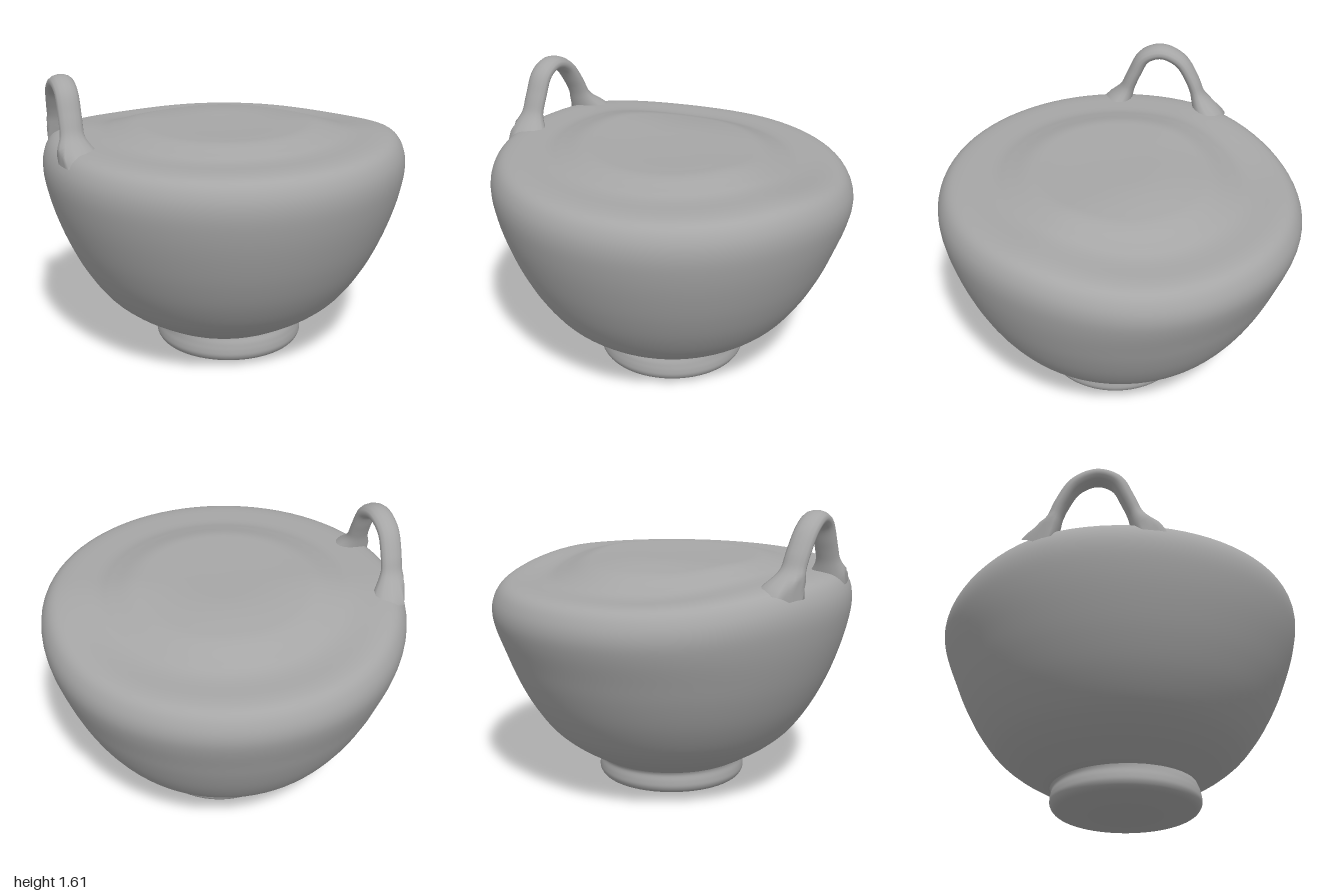
import * as THREE from 'three';
import { mergeVertices } from 'three/addons/utils/BufferGeometryUtils.js';

const { smoothstep } = THREE.MathUtils;

// Move every vertex by a rule, then weld the seams and smooth the normals
function reshape(geometry, rule) {
  const pos = geometry.attributes.position;
  const v = new THREE.Vector3();
  for (let i = 0; i < pos.count; i++) {
    v.fromBufferAttribute(pos, i);
    rule(v, i);
    pos.setXYZ(i, v.x, v.y, v.z);
  }
  geometry.deleteAttribute('uv');
  geometry.deleteAttribute('normal');
  const welded = mergeVertices(geometry, 1e-4);
  welded.computeVertexNormals();
  return welded;
}

function lathe(points, steps) {
  const curve = new THREE.SplineCurve(points.map(([r, y]) => new THREE.Vector2(r, y)));
  const profile = curve.getPoints(steps);
  profile.forEach((p) => { p.x = Math.max(p.x, 0); });
  return new THREE.LatheGeometry(profile, 80);
}

export function createModel() {
  const group = new THREE.Group();
  const clay = new THREE.MeshStandardMaterial({ color: 0xa6a6a6 });
  clay.name = 'grey clay';

  const add = (name, geometry) => {
    const mesh = new THREE.Mesh(geometry, clay);
    mesh.name = name;
    group.add(mesh);
  };

  // Bowl with a closed, gently raised top; the rim sags towards the back right
  const bowl = lathe([
    [0.36, 0.15], [0.41, 0.165], [0.5, 0.215], [0.6, 0.28], [0.7, 0.37],
    [0.8, 0.51], [0.88, 0.665], [0.94, 0.82], [0.98, 0.96], [0.998, 1.08],
    [0.985, 1.17], [0.94, 1.235], [0.86, 1.26], [0.7, 1.264], [0.61, 1.282],
    [0.5, 1.307], [0.4, 1.308], [0.2, 1.302], [0, 1.3],
  ], 110);
  add('bowl', reshape(bowl, (v) => {
    const r = Math.hypot(v.x, v.z);
    const toSag = r > 0 ? (v.x * 0.45 - v.z * 0.89) / r : 0;
    const sag = 0.085 * smoothstep(toSag, -0.1, 0.9);
    v.y -= sag * smoothstep(v.y, 0.75, 1.2) * smoothstep(r, 0.15, 0.8);
  }));

  // Foot ring with a slightly bulging underside, set a little off centre
  const foot = lathe([
    [0, 0], [0.2, 0.008], [0.34, 0.022], [0.39, 0.035], [0.412, 0.065],
    [0.412, 0.1], [0.404, 0.14], [0.41, 0.175], [0.44, 0.2],
  ], 40);
  add('foot', reshape(foot, (v) => {
    v.x += 0.014;
    v.z += 0.03 * (1 - smoothstep(v.y, 0.13, 0.2));
  }));

  // Loop handle on the left of the rim, flaring where it joins the bowl
  const path = new THREE.CatmullRomCurve3([
    [-0.88, 1.16, 0.13], [-0.885, 1.29, 0.055], [-0.88, 1.42, 0.0],
    [-0.875, 1.53, -0.06], [-0.87, 1.567, -0.16], [-0.86, 1.52, -0.27],
    [-0.84, 1.41, -0.345], [-0.82, 1.29, -0.395], [-0.79, 1.17, -0.47],
  ].map((p) => new THREE.Vector3(...p)));
  const rings = 60, sides = 14;
  const handle = new THREE.TubeGeometry(path, rings, 0.04, sides, false);
  add('handle', reshape(handle, (v, i) => {
    const t = Math.floor(i / (sides + 1)) / rings;
    const c = path.getPointAt(t);
    const flare = 1 + 1.3 * smoothstep(Math.abs(t - 0.5), 0.3, 0.5);
    v.sub(c);
    v.x *= 1.6;
    v.multiplyScalar(flare).add(c);
    // keep the flared ends inside the wall
    const r = Math.hypot(v.x, v.z);
    const limit = 0.975;
    if (r > limit) { v.x *= limit / r; v.z *= limit / r; }
  }));

  return group;
}
